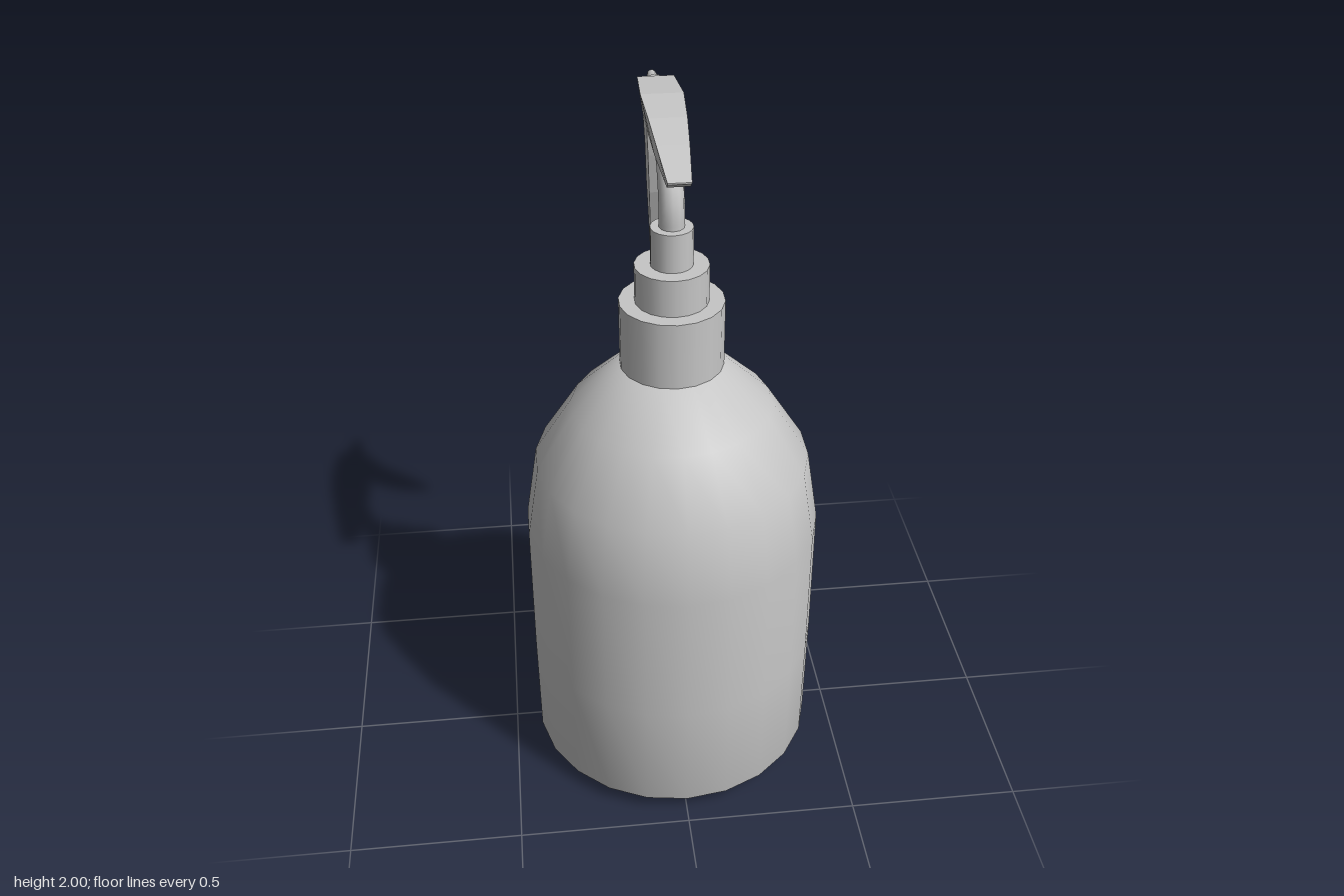
import * as THREE from 'three';

const plastic = new THREE.MeshStandardMaterial({ color: 0xc6c6c6 });
plastic.name = 'greyPlastic';
const AXIS_Z = 0.035; // the bottle axis sits slightly forward

// Faceted solid through rings of corners, capped at both ends
function loft(rings) {
  const pos = [];
  const tri = (...pts) => pts.forEach((p) => pos.push(...p));
  const n = rings[0].length;
  for (let r = 0; r < rings.length - 1; r++) {
    const a = rings[r], b = rings[r + 1];
    for (let i = 0; i < n; i++) {
      const j = (i + 1) % n;
      tri(a[i], a[j], b[j]);
      tri(a[i], b[j], b[i]);
    }
  }
  const first = rings[0], last = rings[rings.length - 1];
  for (let i = 1; i < n - 1; i++) {
    tri(first[0], first[i + 1], first[i]);
    tri(last[0], last[i], last[i + 1]);
  }
  const g = new THREE.BufferGeometry();
  g.setAttribute('position', new THREE.Float32BufferAttribute(pos, 3));
  g.computeVertexNormals();
  return g;
}

export function createModel() {
  const group = new THREE.Group();
  const add = (name, geometry, x = 0, y = 0, z = 0) => {
    const mesh = new THREE.Mesh(geometry, plastic);
    mesh.name = name;
    mesh.position.set(x, y, z);
    group.add(mesh);
  };

  // Bottle with rounded shoulders
  const profile = [
    [0, 0], [0.36, 0.005], [0.424, 0.05], [0.426, 0.4], [0.424, 0.81],
    [0.388, 1.03], [0.28, 1.2], [0.145, 1.328], [0, 1.328],
  ].map(([r, y]) => new THREE.Vector2(r, y));
  add('bottle', new THREE.LatheGeometry(profile, 22), 0, 0, AXIS_Z);

  // Stepped screw cap
  [['capBase', 0.143, 1.325, 1.52], ['capMiddle', 0.1, 1.52, 1.625], ['capTop', 0.057, 1.625, 1.732]]
    .forEach(([name, r, y0, y1]) =>
      add(name, new THREE.CylinderGeometry(r, r, y1 - y0, 18), 0, (y0 + y1) / 2, AXIS_Z));

  // Bent stem running up into the head
  const stem = new THREE.CatmullRomCurve3([
    [1.72, 0.035], [1.78, 0.033], [1.84, 0.012], [1.885, -0.025], [1.91, -0.075], [1.92, -0.13],
  ].map(([y, z]) => new THREE.Vector3(0, y, z)));
  add('stem', new THREE.TubeGeometry(stem, 12, 0.034, 12));

  // Spray head, sections from back to front: z, bottom y, top y, bottom half width, top half width
  const head = [
    [-0.355, 1.885, 1.987, 0.036, 0.05],
    [-0.19, 1.886, 2.0, 0.036, 0.057],
    [-0.055, 1.89, 1.987, 0.035, 0.05],
    [0.06, 1.897, 1.963, 0.032, 0.042],
    [0.18, 1.905, 1.932, 0.029, 0.032],
    [0.204, 1.922, 1.926, 0.029, 0.03],
  ];
  add('sprayHead', loft(head.map(([z, yb, yt, wb, wt]) =>
    [[-wb, yb, z], [wb, yb, z], [wt, yt, z], [-wt, yt, z]])));

  // Trigger, sections from tip to top: y front, y back, z front, z back, half width
  const trigger = [
    [1.44, 1.465, -0.394, -0.41, 0.014],
    [1.56, 1.58, -0.328, -0.395, 0.02],
    [1.68, 1.68, -0.288, -0.375, 0.026],
    [1.8, 1.8, -0.262, -0.353, 0.031],
    [1.895, 1.895, -0.247, -0.354, 0.036],
  ];
  add('trigger', loft(trigger.map(([yf, yb, zf, zb, w]) =>
    [[-w, yf, zf], [w, yf, zf], [w, yb, zb], [-w, yb, zb]])));

  // Nozzle pointing backwards: collar, then tapered spout
  const collar = new THREE.CylinderGeometry(0.028, 0.032, 0.04, 12).rotateX(-Math.PI / 2);
  add('nozzleCollar', collar, 0, 1.953, -0.367);
  const spout = new THREE.CylinderGeometry(0.012, 0.02, 0.085, 12).rotateX(-Math.PI / 2);
  add('nozzleSpout', spout, 0, 1.953, -0.4225);

  return group;
}
